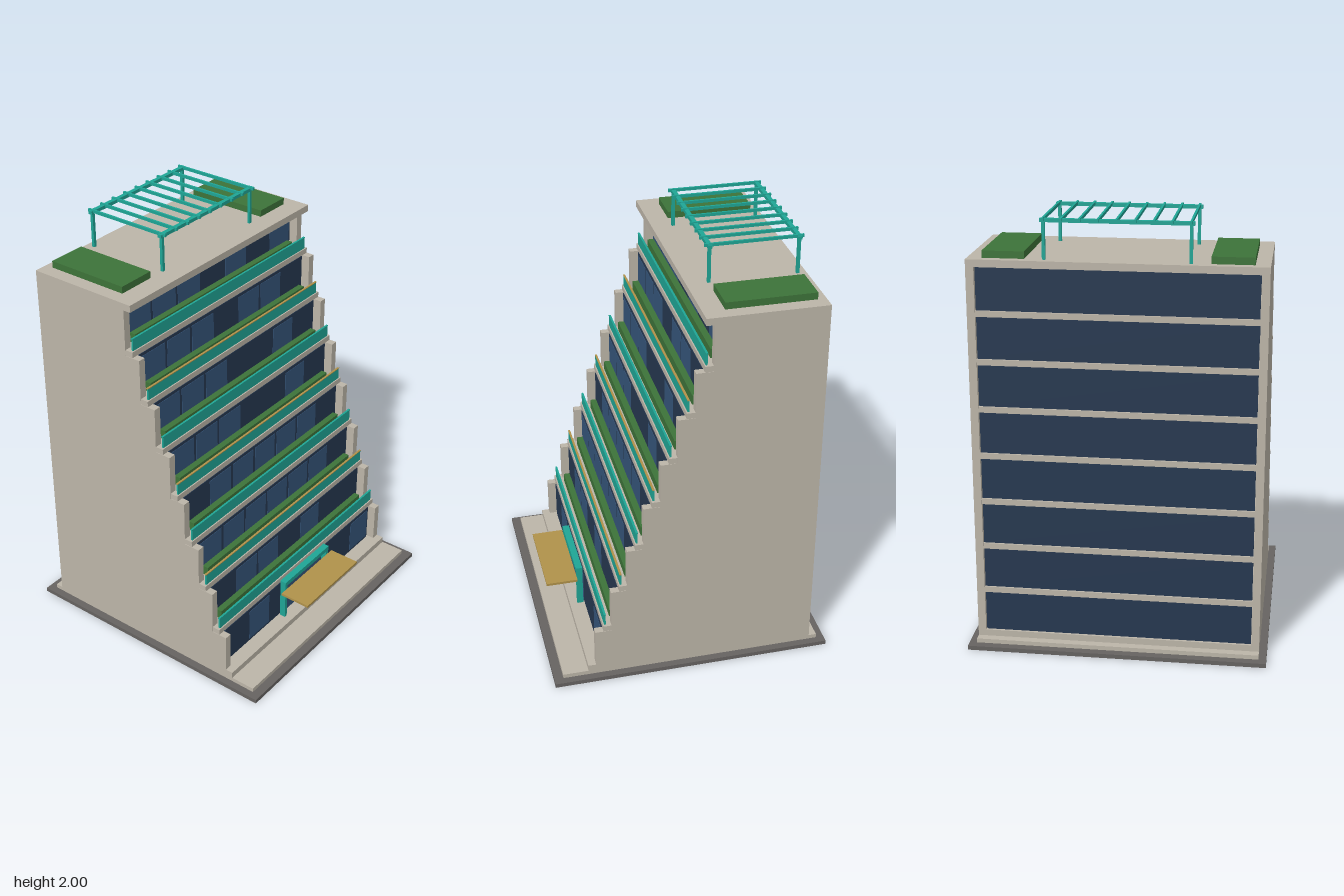
import * as THREE from 'three';

const mat = (color) => new THREE.MeshStandardMaterial({ color, flatShading: true });

export function createModel() {
  const model = new THREE.Group();
  const concrete = mat(0xbcb5a8), paving = mat(0x666361), glass = mat(0x263850), pane = mat(0x35557a);
  const teal = mat(0x1fa595), green = mat(0x3d7339), gold = mat(0xb0924a);

  // Box given by its minimum and maximum on each axis
  function box(name, material, x0, x1, y0, y1, z0, z1, parent = model) {
    const mesh = new THREE.Mesh(new THREE.BoxGeometry(x1 - x0, y1 - y0, z1 - z0), material);
    mesh.position.set((x0 + x1) / 2, (y0 + y1) / 2, (z0 + z1) / 2);
    mesh.name = name;
    parent.add(mesh);
    return mesh;
  }

  const floors = 8, pitch = 0.2175, step = 0.077, back = -0.585;
  const floorY = (i) => 0.07 + i * pitch;        // top of each floor slab
  const frontZ = (i) => 0.46 - i * step;         // front edge of the side walls
  const slabH = 0.027, roofY = 1.785;

  // Ground and plinth
  box('groundPlate', paving, -0.685, 0.685, 0, 0.02, -0.66, 0.66);
  box('plinth', concrete, -0.65, 0.65, 0.02, 0.04, -0.622, 0.617);
  box('podium', concrete, -0.65, 0.65, 0.04, 0.07, back, 0.497);

  // Stepped side walls
  const profile = new THREE.Shape();
  profile.moveTo(back, 0.07);
  for (let i = 0; i < floors; i++) {
    const top = i < floors - 1 ? floorY(i + 1) - slabH : roofY;
    profile.lineTo(frontZ(i), i ? floorY(i) - slabH : 0.07);
    profile.lineTo(frontZ(i), top);
  }
  profile.lineTo(back, roofY);
  const wallGeometry = new THREE.ExtrudeGeometry(profile, { depth: 0.036, bevelEnabled: false });
  wallGeometry.rotateY(-Math.PI / 2);            // profile x becomes z, depth runs to -x
  for (const side of [-1, 1]) {
    const wall = new THREE.Mesh(wallGeometry, concrete);
    wall.position.x = side > 0 ? 0.65 : -0.614;
    wall.name = side > 0 ? 'leftWall' : 'rightWall';
    model.add(wall);
  }

  // Lighter panes on each floor, counted from -x
  const panes = [[1, 6], [1, 2, 4], [0, 1, 2, 3, 4, 5], [1, 2, 3, 4, 5], [0, 1, 2, 5], [0, 1, 2, 5],
    [0, 1, 2, 4, 5], [0, 1, 2, 4, 6]];

  for (let i = 0; i < floors; i++) {
    const storey = new THREE.Group();
    storey.name = 'storey' + (i + 1);
    model.add(storey);
    const y = floorY(i), z = frontZ(i);
    const top = i < floors - 1 ? floorY(i + 1) - slabH : roofY;

    // Glazing front and back
    box('frontGlass', glass, -0.603, 0.603, y, top, z - 0.055, z - 0.036, storey);
    box('backGlass', glass, -0.612, 0.612, y, top, back + 0.012, back + 0.025, storey);
    for (const p of panes[i]) {
      const x = (p - 3) * 0.172;
      box('windowPane', pane, x - 0.078, x + 0.078, y + 0.012, top - 0.015, z - 0.04, z - 0.034, storey);
    }
    if (i === 0) continue;

    // Balcony slab, railing and planter
    box('slab', concrete, -0.648, 0.648, y - slabH, y, back + 0.003, z + 0.038, storey);
    box('railing', teal, -0.635, 0.635, y, y + 0.055, z + 0.024, z + 0.032, storey);
    box('railCap', i % 2 ? teal : gold, -0.638, 0.638, y + 0.055, y + 0.059, z + 0.023, z + 0.033, storey);
    box('planter', green, -0.58, 0.58, y, y + 0.045, z - 0.033, z - 0.003, storey);
  }

  // Entrance portal and canopy
  box('entranceDoor', pane, -0.17, 0.17, 0.07, 0.235, 0.42, 0.43);
  for (const s of [-1, 1]) box('portalPost', teal, s * 0.173 - 0.008, s * 0.173 + 0.008, 0.07, 0.262, 0.43, 0.46);
  box('portalHeader', teal, -0.183, 0.183, 0.26, 0.283, 0.43, 0.462);
  box('canopy', gold, -0.212, 0.212, 0.226, 0.238, 0.46, 0.612);

  // Roof and its planters
  box('roof', concrete, -0.65, 0.65, roofY, 1.818, back, -0.042);
  for (const s of [-1, 1]) box('roofPlanter', green, s * 0.4925 - 0.0925, s * 0.4925 + 0.0925, 1.818, 1.85, -0.546, -0.14);

  // Pergola
  const pergola = new THREE.Group();
  pergola.name = 'pergola';
  model.add(pergola);
  for (const z of [-0.545, -0.143]) {
    box('pergolaBeam', teal, -0.33, 0.33, 1.98, 1.996, z - 0.01, z + 0.01, pergola);
    for (const x of [-0.315, 0.315]) box('pergolaPost', teal, x - 0.007, x + 0.007, 1.818, 1.982, z - 0.007, z + 0.007, pergola);
  }
  for (let k = -4; k <= 4; k++) {
    const x = k * 0.0788;
    box('pergolaRafter', teal, x - 0.005, x + 0.005, 1.986, 2, -0.566, -0.12, pergola);
  }
  return model;
}
